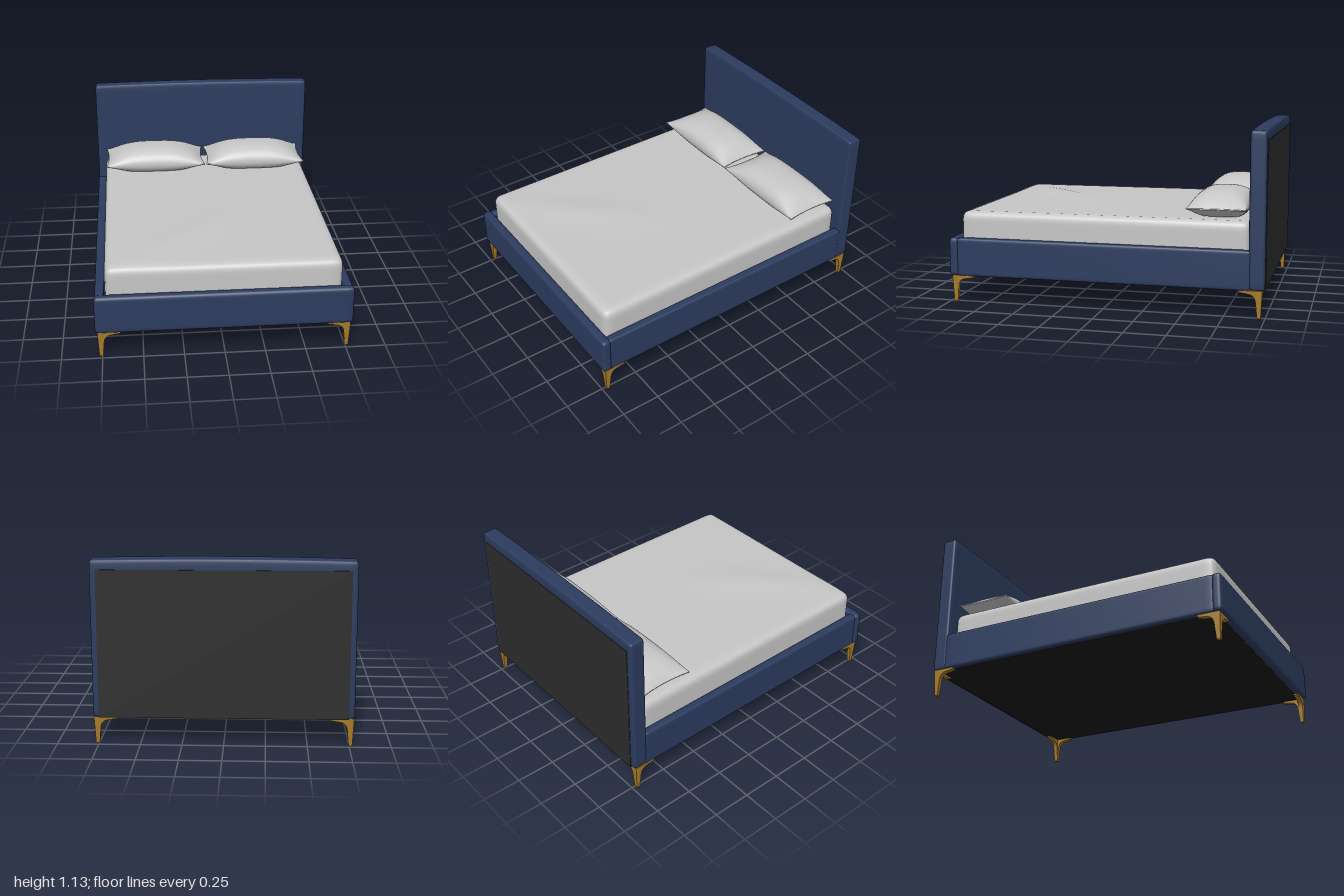
import * as THREE from 'three';
import { mergeVertices } from 'three/addons/utils/BufferGeometryUtils.js';

const material = (name, color) => {
  const m = new THREE.MeshStandardMaterial({ color });
  m.name = name;
  return m;
};

// Moves every vertex by a rule, then welds and smooths the surface
function reshape(geometry, rule) {
  const p = geometry.attributes.position;
  const v = new THREE.Vector3();
  for (let i = 0; i < p.count; i++) {
    v.fromBufferAttribute(p, i);
    rule(v);
    p.setXYZ(i, v.x, v.y, v.z);
  }
  geometry.deleteAttribute('uv');
  geometry.deleteAttribute('normal');
  const welded = mergeVertices(geometry, 1e-5);
  welded.computeVertexNormals();
  return welded;
}

// Upholstered box between two corners, with rounded edges and an optional warp
function softBox([x0, y0, z0], [x1, y1, z1], r, warp = () => {}) {
  const half = new THREE.Vector3(x1 - x0, y1 - y0, z1 - z0).multiplyScalar(0.5);
  const centre = new THREE.Vector3(x0 + x1, y0 + y1, z0 + z1).multiplyScalar(0.5);
  const core = half.clone().subScalar(r);
  const low = core.clone().negate();
  const inner = new THREE.Vector3();
  const spread = (t) => Math.sin((t * Math.PI) / 2); // packs rows near the edges
  return reshape(new THREE.BoxGeometry(2, 2, 2, 28, 20, 28), (v) => {
    v.set(spread(v.x), spread(v.y), spread(v.z)).multiply(half);
    inner.copy(v).clamp(low, core);
    v.sub(inner).setLength(r).add(inner).add(centre);
    warp(v);
  });
}

// Plump pillow with pinched corners, flattened where it rests
function pillowGeometry() {
  const spread = (t) => Math.sin((t * Math.PI) / 2);
  return reshape(new THREE.BoxGeometry(2, 2, 2, 36, 1, 28), (v) => {
    const u = spread(v.x), w = spread(v.z), top = v.y > 0;
    const puff = (1 - Math.abs(u) ** 3) * Math.sqrt(Math.max(0, 1 - Math.abs(w) ** 2.6));
    v.x = u * (0.355 - 0.018 * (1 - w * w) * Math.abs(u) ** 3);
    v.z = w * (0.182 - 0.008 * (1 - u * u));
    v.y = top ? 0.003 + 0.1 * puff : -Math.min(0.06, 0.003 + 0.085 * puff);
  });
}

// One half of a bracket leg: a tapering foot flowing into a horizontal arm
function legArm(side) {
  const s = new THREE.Shape();
  s.moveTo(0, 0.17);
  s.lineTo(0.008, 0);
  s.lineTo(0.03, 0);
  s.lineTo(0.04, 0.1);
  s.quadraticCurveTo(0.045, 0.142, 0.08, 0.148);
  s.lineTo(0.14, 0.158);
  s.lineTo(0.14, 0.17);
  const g = new THREE.ExtrudeGeometry(s, { depth: 0.032, bevelEnabled: false, curveSegments: 8 });
  const p = g.attributes.position;
  for (let i = 0; i < p.count; i++) {
    const t = p.getY(i) / 0.17;
    const middle = side * THREE.MathUtils.lerp(0.019, 0.016, t);
    p.setZ(i, middle + (p.getZ(i) - 0.016) * THREE.MathUtils.lerp(0.68, 1, t));
  }
  g.computeVertexNormals();
  if (side < 0) g.rotateY(-Math.PI / 2);
  return g;
}

export function createModel() {
  const model = new THREE.Group();
  model.name = 'bed';
  const fabric = material('navy fabric', 0x2c3c5f);
  const linen = material('pale linen', 0xc6c6c6);
  const brass = material('brass', 0xa87c2a);
  const backing = material('charcoal backing', 0x2d2d2d);
  const lining = material('black lining', 0x1a1a1a);

  const add = (name, geometry, mat, parent = model) => {
    const mesh = new THREE.Mesh(geometry, mat);
    mesh.name = name;
    parent.add(mesh);
    return mesh;
  };
  const plate = (name, size, at, mat) =>
    add(name, new THREE.BoxGeometry(...size), mat).position.set(...at);

  // Headboard with a gently crowned top, and its back panel
  add('headboard', softBox([-0.78, 0.17, -0.997], [0.78, 1.122, -0.897], 0.018, (v) => {
    if (v.y > 1) v.y += 0.01 * (1 - (v.x / 0.78) ** 2) + 0.04 * (v.z + 0.947);
  }), fabric);
  plate('headboardBack', [1.49, 0.895, 0.006], [0, 0.6175, -0.997], backing);

  // Footboard and side rails
  add('footboard', softBox([-0.79, 0.167, 0.938], [0.79, 0.413, 1], 0.024), fabric);
  for (const s of [-1, 1]) {
    const inner = s * 0.728, outer = s * 0.784;
    add(s > 0 ? 'leftRail' : 'rightRail',
      softBox([Math.min(inner, outer), 0.168, -0.91], [Math.max(inner, outer), 0.41, 0.95], 0.016), fabric);
  }

  // Underside lining
  plate('underside', [1.51, 0.008, 1.94], [0, 0.169, -0.012], lining);

  // Mattress with soft shoulders and a shallow diagonal crease
  add('mattress', softBox([-0.722, 0.2, -0.895], [0.727, 0.575, 0.94], 0.05, (v) => {
    if (v.y < 0.5) return;
    const across = (v.x + v.z - 0.32) / 0.16;
    const along = (v.z - v.x - 0.75) / 0.6;
    v.y += 0.016 * Math.exp(-across * across - along * along);
    v.y += 0.007 * Math.cos(v.x * 1.9) * Math.cos(v.z * 1.5);
  }), linen);

  // Pair of pillows
  const pillow = pillowGeometry();
  for (const s of [-1, 1]) {
    add(s > 0 ? 'leftPillow' : 'rightPillow', pillow, linen).position.set(s * 0.36, 0.638, -0.69);
  }

  // Four corner legs, each turned so its arms point inward
  const arms = [legArm(1), legArm(-1)];
  [[-1, -1], [-1, 1], [1, 1], [1, -1]].forEach(([sx, sz], i) => {
    const leg = new THREE.Group();
    leg.name = (sz > 0 ? 'front' : 'back') + (sx > 0 ? 'Left' : 'Right') + 'Leg';
    leg.position.set(sx * 0.777, 0, sz * 0.983);
    leg.rotation.y = (i * Math.PI) / 2;
    arms.forEach((g, k) => add(k ? 'legArmAlongSide' : 'legArmAcross', g, brass, leg));
    model.add(leg);
  });

  return model;
}
